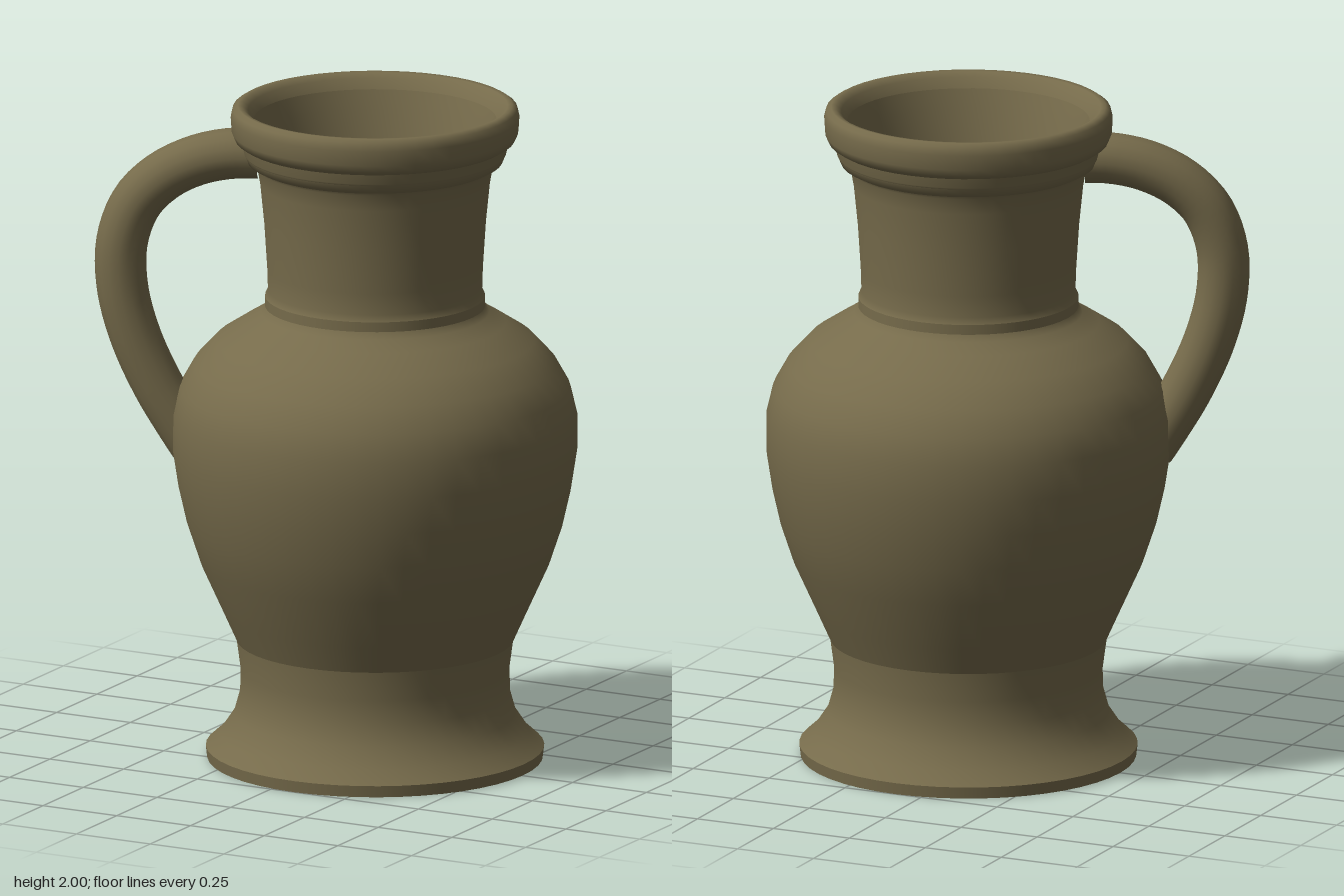
import * as THREE from 'three';

export function createModel() {
  const jug = new THREE.Group();
  jug.name = 'jug';
  const clay = new THREE.MeshStandardMaterial({ color: 0x766b4b });
  clay.name = 'olive clay';
  const axisX = 0.08;

  const add = (name, geometry, parent = jug) => {
    const mesh = new THREE.Mesh(geometry, clay);
    mesh.name = name;
    parent.add(mesh);
  };
  // Profiles are [radius, height]; a repeated point makes a sharp edge.
  const lathe = (profile) =>
    new THREE.LatheGeometry(profile.map(([r, y]) => new THREE.Vector2(r, y)), 48);

  const body = new THREE.Group();
  body.name = 'body';
  body.position.x = axisX;
  jug.add(body);

  // Foot with a thin flat edge
  add('foot', lathe([
    [0, 0], [0.5, 0], [0.5, 0], [0.504, 0.035], [0.504, 0.035],
    [0.46, 0.075], [0.42, 0.135], [0.402, 0.2], [0.4, 0.27], [0.412, 0.36],
  ]), body);

  // Swelling belly and shoulder
  add('belly', lathe([
    [0.412, 0.36], [0.45, 0.445], [0.52, 0.6], [0.56, 0.72], [0.585, 0.83],
    [0.602, 0.94], [0.602, 1.05], [0.582, 1.135], [0.54, 1.21], [0.475, 1.28],
    [0.39, 1.335], [0.34, 1.365], [0.328, 1.385],
  ]), body);

  // Neck with a low ring at its root
  add('neck', lathe([
    [0.328, 1.385], [0.328, 1.415], [0.328, 1.415], [0.319, 1.435],
    [0.321, 1.5], [0.33, 1.64], [0.342, 1.76], [0.351, 1.81], [0.362, 1.825],
  ]), body);

  // Stepped collar and rounded rim
  add('rim', lathe([
    [0.351, 1.815], [0.38, 1.83], [0.388, 1.85], [0.388, 1.85], [0.391, 1.855],
    [0.398, 1.885], [0.398, 1.885], [0.417, 1.897], [0.427, 1.92], [0.43, 1.965],
    [0.424, 1.99], [0.409, 2], [0.395, 1.998], [0.378, 1.985], [0.362, 1.955],
  ]), body);

  // Hollow inside, from the mouth down to the floor
  add('inside', lathe([
    [0.362, 1.955], [0.345, 1.9], [0.325, 1.82], [0.302, 1.72], [0.28, 1.58],
    [0.267, 1.46], [0.265, 1.4], [0.265, 1.4], [0.29, 1.345], [0.42, 1.26],
    [0.51, 1.14], [0.54, 1.0], [0.51, 0.78], [0.45, 0.57], [0.36, 0.36],
    [0.34, 0.25], [0.34, 0.12], [0.34, 0.12], [0, 0.12],
  ]), body);

  // Looped handle, set out from the axis to the front right
  const angle = Math.PI * 24 / 180;
  const path = [
    [0.35, 1.845], [0.43, 1.842], [0.53, 1.82], [0.63, 1.77], [0.71, 1.69],
    [0.755, 1.57], [0.755, 1.43], [0.717, 1.28], [0.65, 1.13], [0.585, 1.02], [0.54, 0.95],
  ].map(([r, y]) => new THREE.Vector3(
    axisX - r * Math.cos(angle), y, r * Math.sin(angle)));
  add('handle', new THREE.TubeGeometry(new THREE.CatmullRomCurve3(path), 40, 0.077, 16, false));

  return jug;
}
